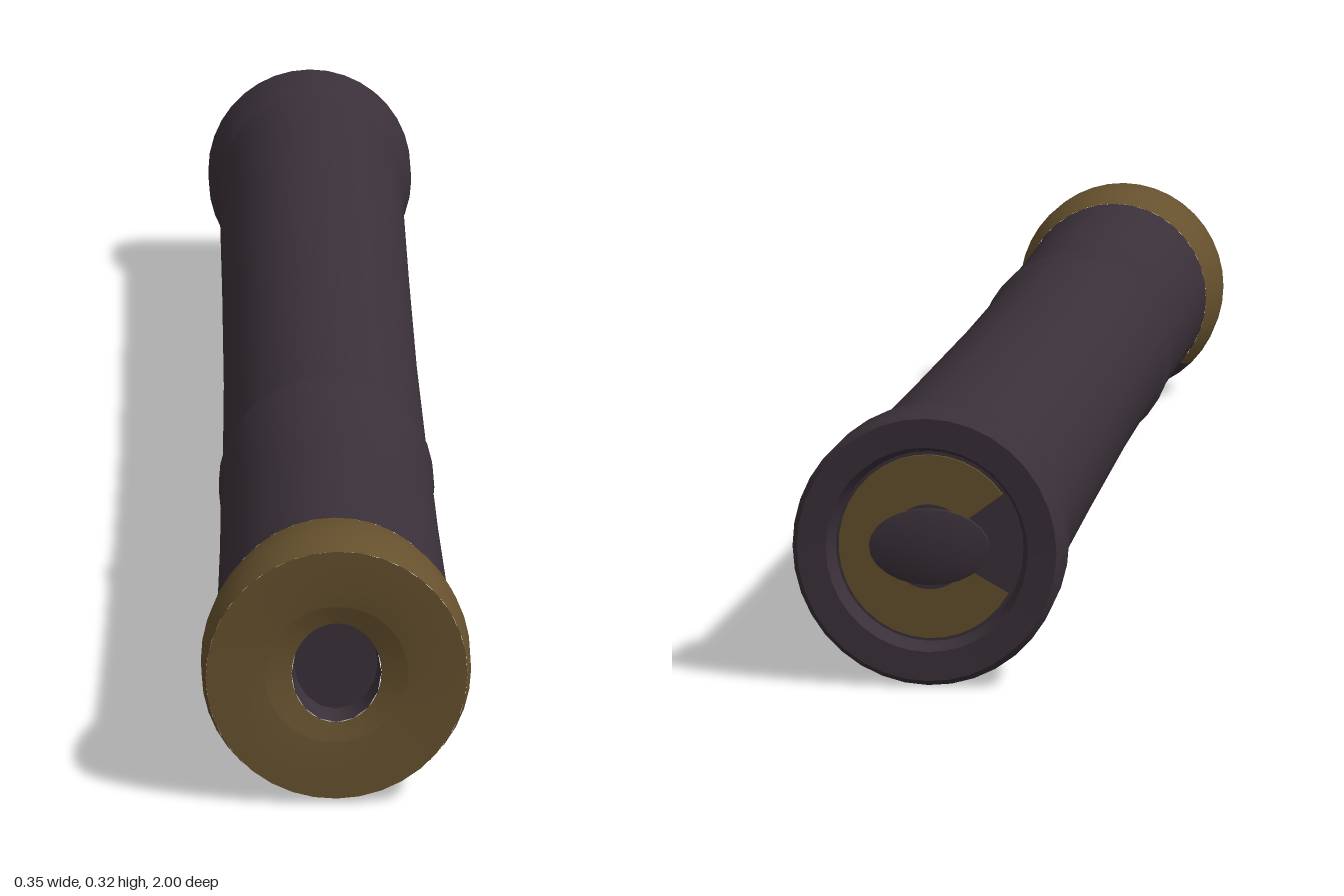
import * as THREE from 'three';
import { toCreasedNormals } from 'three/addons/utils/BufferGeometryUtils.js';

const TAU = Math.PI * 2;
const AXIS_Y = 0.162;  // height of the tube's centre line
const SLANT = -0.0175; // sideways drift of the centre line along z

export function createModel() {
  const dark = new THREE.MeshStandardMaterial({ color: 0x3a3039 });
  dark.name = 'dark plum';
  const gold = new THREE.MeshStandardMaterial({ color: 0x66512e });
  gold.name = 'old gold';

  const group = new THREE.Group();
  group.name = 'tube';

  // Turns a [radius, z] profile about the tube's axis; phi 0 is the underside.
  function turn(name, material, profile, { sx = 0.977, sy = 1, start = 0, sweep = TAU, sides = 36 } = {}) {
    const points = profile.map(([r, z]) => new THREE.Vector2(r, z));
    const lathe = new THREE.LatheGeometry(points, sides, start, sweep);
    lathe.rotateX(Math.PI / 2);
    const p = lathe.attributes.position;
    for (let i = 0; i < p.count; i++) {
      const z = p.getZ(i);
      p.setXYZ(i, p.getX(i) * sx + SLANT * z, p.getY(i) * sy + AXIS_Y, z);
    }
    const mesh = new THREE.Mesh(toCreasedNormals(lathe, 0.6), material);
    mesh.name = name;
    group.add(mesh);
    return mesh;
  }

  // Back collar with a shallow recess in its end
  turn('backCollar', dark, [
    [0, -0.975], [0.112, -0.975], [0.12, -0.998], [0.154, -1], [0.161, -0.99],
    [0.16, -0.93], [0.155, -0.9], [0.145, -0.885],
  ]);

  // Long barrel, slightly waisted, with a raised joint ring
  turn('barrel', dark, [
    [0.145, -0.885], [0.142, -0.75], [0.138, -0.4], [0.135, 0], [0.136, 0.36],
    [0.141, 0.367], [0.141, 0.395], [0.138, 0.405], [0.139, 0.6], [0.142, 0.8], [0.144, 0.865],
  ]);

  // Front cap: gold over the top and sides, dark underneath
  const cap = [
    [0.144, 0.865], [0.147, 0.88], [0.156, 0.91], [0.161, 0.945], [0.16, 0.985], [0.155, 1],
  ];
  const quarter = Math.PI / 4;
  turn('frontCap', gold, cap, { start: quarter, sweep: TAU * 0.75, sides: 30 });
  turn('frontCapUnderside', dark, cap, { start: -quarter, sweep: TAU / 4, sides: 10 });

  // Front face, narrowing to an oval opening
  turn('frontFace', gold, [[0.155, 1], [0.11, 0.999], [0.085, 0.996]]);
  const inner = turn('frontFaceLip', gold, [[0.085, 0.996], [0.062, 0.99]]);
  const lip = inner.geometry.attributes.position;
  for (let i = 0; i < lip.count; i++) {
    const z = lip.getZ(i);
    if (z < 0.993) lip.setX(i, (lip.getX(i) - SLANT * z) * 0.86 + SLANT * z);
  }
  turn('frontOpening', dark, [[0.062, 0.99], [0.058, 0.96], [0, 0.96]], { sx: 0.84, sides: 16 });

  // Open gold ring inside the back recess, around a low oval boss
  turn('backRing', gold, [[0.05, -0.979], [0.108, -0.979], [0.108, -0.975]],
    { start: TAU * 0.83, sweep: TAU * 0.82, sides: 28 });
  turn('backBoss', dark, [[0, -0.986], [0.05, -0.985], [0.07, -0.981], [0.07, -0.975]],
    { sx: 1, sy: 0.64, sides: 24 });

  return group;
}
